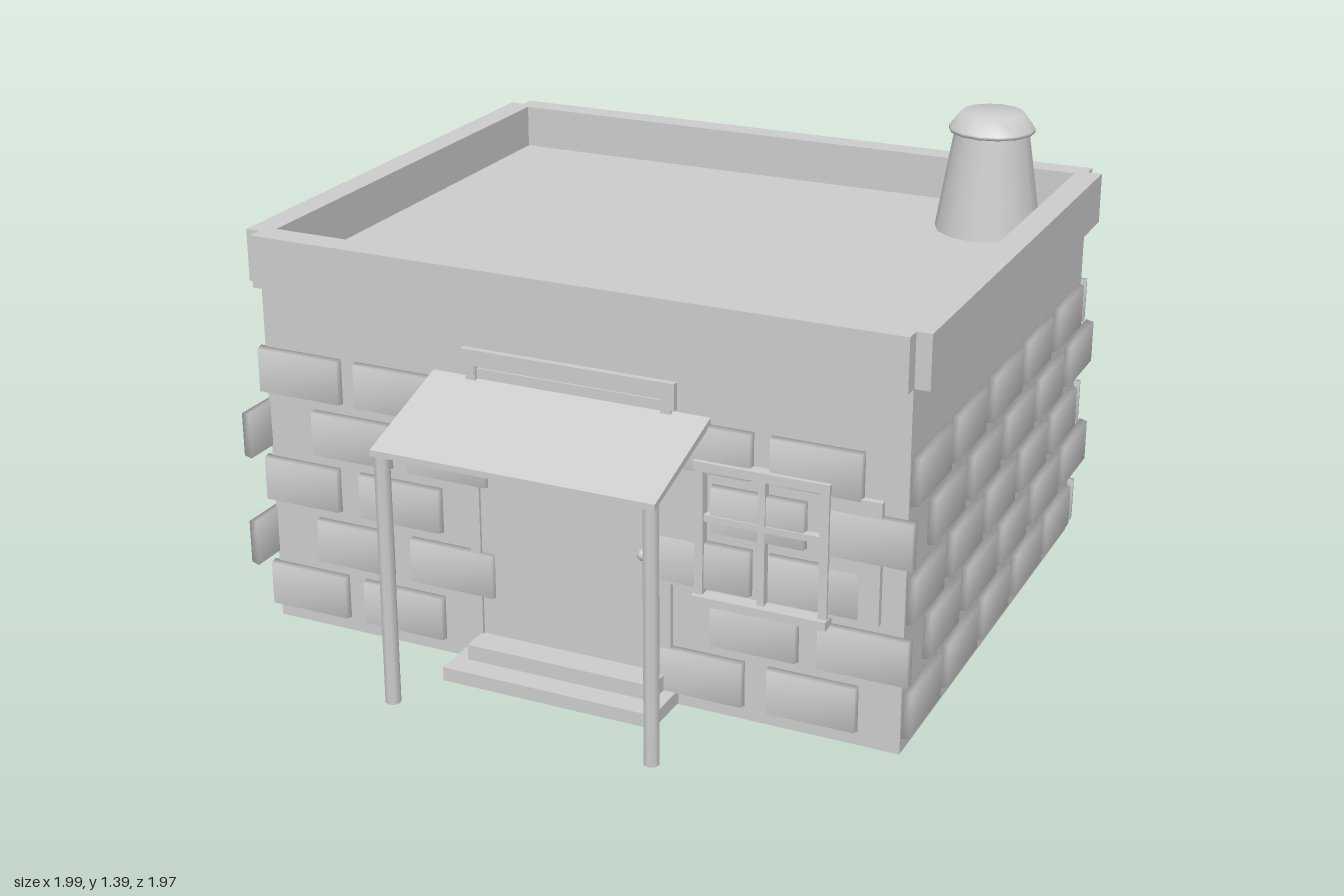
import * as THREE from 'three';
import { mergeVertices } from 'three/addons/utils/BufferGeometryUtils.js';

const stone = new THREE.MeshStandardMaterial({ color: 0xcccccc });
stone.name = 'pale stone';

function add(parent, name, geometry) {
  const mesh = new THREE.Mesh(geometry, stone);
  mesh.name = name;
  parent.add(mesh);
  return mesh;
}

// Box given by its minimum and maximum on each axis
function box(parent, name, x0, x1, y0, y1, z0, z1) {
  const g = new THREE.BoxGeometry(x1 - x0, y1 - y0, z1 - z0);
  g.translate((x0 + x1) / 2, (y0 + y1) / 2, (z0 + z1) / 2);
  return add(parent, name, g);
}

// Softly shaded block with a slightly smaller outer face
function brick(parent, x, y, w, h) {
  let g = new THREE.BoxGeometry(w, h, 0.025);
  const p = g.attributes.position;
  for (let i = 0; i < p.count; i++) {
    if (p.getZ(i) > 0) {
      p.setX(i, p.getX(i) - Math.sign(p.getX(i)) * 0.004);
      p.setY(i, p.getY(i) - Math.sign(p.getY(i)) * 0.004);
    }
  }
  g.deleteAttribute('normal');
  g.deleteAttribute('uv');
  g = mergeVertices(g);
  g.computeVertexNormals();
  g.translate(x + w / 2, y + h / 2, 0.0085);
  add(parent, 'brick', g);
}

// Five brick courses; local x runs along the wall and z points outward
function brickwork(wall, o) {
  for (let row = 0; row < 5; row++) {
    const shifted = row % 2 === 1;
    const start = shifted ? o.evenStart : o.oddStart;
    const pitch = shifted ? o.evenPitch : o.oddPitch;
    for (let i = 0; i < o.count; i++) {
      if (o.skip && o.skip.includes(i)) continue;
      const vary = 0.012 * Math.sin(row * 5.3 + i * 2.7);
      const last = i === o.count - 1;
      brick(wall, start + i * pitch, 0.04 + row * 0.165, 0.256 + (last ? 0 : vary), 0.135);
    }
  }
}

function windowUnit(wall, cx) {
  const g = new THREE.Group();
  g.name = 'window';
  g.position.x = cx;
  wall.add(g);
  for (const s of [-1, 1]) {
    box(g, 'shutter', s * 0.255 - 0.07, s * 0.255 + 0.07, 0.365, 0.71, 0, 0.019);
    box(g, 'sideFrame', s * 0.175 - 0.012, s * 0.175 + 0.012, 0.36, 0.715, 0, 0.03);
  }
  box(g, 'lintel', -0.19, 0.19, 0.715, 0.74, 0, 0.035);
  box(g, 'sill', -0.19, 0.19, 0.335, 0.36, 0, 0.045);
  box(g, 'mullion', -0.01, 0.01, 0.36, 0.715, 0, 0.026);
  box(g, 'crossbar', -0.165, 0.165, 0.57, 0.588, 0, 0.025);
}

export function createModel() {
  const model = new THREE.Group();
  model.name = 'brickHouse';

  box(model, 'walls', -0.953, 0.953, 0, 1.04, -0.88, 0.65);

  // Parapet of four slabs with open notches at the outer corners
  box(model, 'frontParapet', -0.953, 0.953, 1.02, 1.17, 0.61, 0.69);
  box(model, 'backParapet', -0.953, 0.953, 1.02, 1.17, -0.925, -0.85);
  for (const s of [-1, 1]) {
    const a = s * 0.92, b = s * 0.995;
    box(model, 'sideParapet', Math.min(a, b), Math.max(a, b), 1.02, 1.17, -0.88, 0.645);
  }

  // Chimney and its flared cap
  const profile = (pts) => pts.map(([r, y]) => new THREE.Vector2(r, y));
  const flue = new THREE.CylinderGeometry(0.107, 0.155, 0.3, 14);
  add(model, 'chimney', flue).position.set(0.727, 1.19, -0.63);
  const cap = new THREE.LatheGeometry(profile([[0, 1.335], [0.125, 1.335], [0.125, 1.345], [0.09, 1.39], [0, 1.39]]), 14);
  add(model, 'chimneyCap', cap).position.set(0.727, 0, -0.63);

  // Wall faces carrying the brickwork
  const walls = {};
  const faces = [
    ['frontFace', 0, 0, 0.65], ['rightFace', Math.PI / 2, 0.953, -0.115],
    ['backFace', Math.PI, 0, -0.88], ['leftFace', -Math.PI / 2, -0.953, -0.115],
  ];
  for (const [name, turn, x, z] of faces) {
    const g = new THREE.Group();
    g.name = name;
    g.rotation.y = turn;
    g.position.set(x, 0, z);
    model.add(g);
    walls[name] = g;
  }
  const long = { count: 6, oddStart: -0.97, oddPitch: 0.31, evenStart: -0.805, evenPitch: 0.305 };
  const short = { count: 5, oddStart: -0.755, oddPitch: 0.306, evenStart: -0.612, evenPitch: 0.307 };
  brickwork(walls.frontFace, { ...long, skip: [2, 3] });
  brickwork(walls.backFace, long);
  brickwork(walls.rightFace, short);
  brickwork(walls.leftFace, short);
  windowUnit(walls.frontFace, 0.565);
  windowUnit(walls.leftFace, -0.005);

  // Door with surround, knob and two steps
  const door = new THREE.Group();
  door.name = 'door';
  door.position.z = 0.65;
  model.add(door);
  box(door, 'doorLeaf', -0.275, 0.275, 0.09, 0.88, 0, 0.006);
  for (const s of [-1, 1]) {
    box(door, 'doorJamb', s * 0.288 - 0.015, s * 0.288 + 0.015, 0.04, 0.9, 0, 0.015);
    box(door, 'lintelEnd', s * 0.295 - 0.02, s * 0.295 + 0.02, 0.86, 0.89, 0, 0.018);
  }
  box(door, 'doorLintel', -0.315, 0.315, 0.89, 0.935, 0, 0.018);
  add(door, 'doorKnob', new THREE.SphereGeometry(0.017, 10, 8)).position.set(0.225, 0.435, 0.018);
  box(model, 'lowerStep', -0.32, 0.32, 0.005, 0.045, 0.64, 0.81);
  box(model, 'upperStep', -0.28, 0.285, 0.045, 0.09, 0.64, 0.74);

  // Sloping porch roof on two posts
  const slope = new THREE.Shape();
  slope.moveTo(-0.64, 0.835);
  slope.lineTo(-0.985, 0.728);
  slope.lineTo(-0.985, 0.745);
  slope.lineTo(-0.64, 0.856);
  const roof = new THREE.ExtrudeGeometry(slope, { depth: 0.82, bevelEnabled: false });
  roof.translate(0, 0, -0.41);
  roof.rotateY(Math.PI / 2);
  add(model, 'porchRoof', roof);
  for (const s of [-1, 1]) {
    const post = new THREE.CylinderGeometry(0.022, 0.022, 0.735, 8);
    add(model, 'porchPost', post).position.set(s * 0.388, 0.3675, 0.962);
  }
  return model;
}
